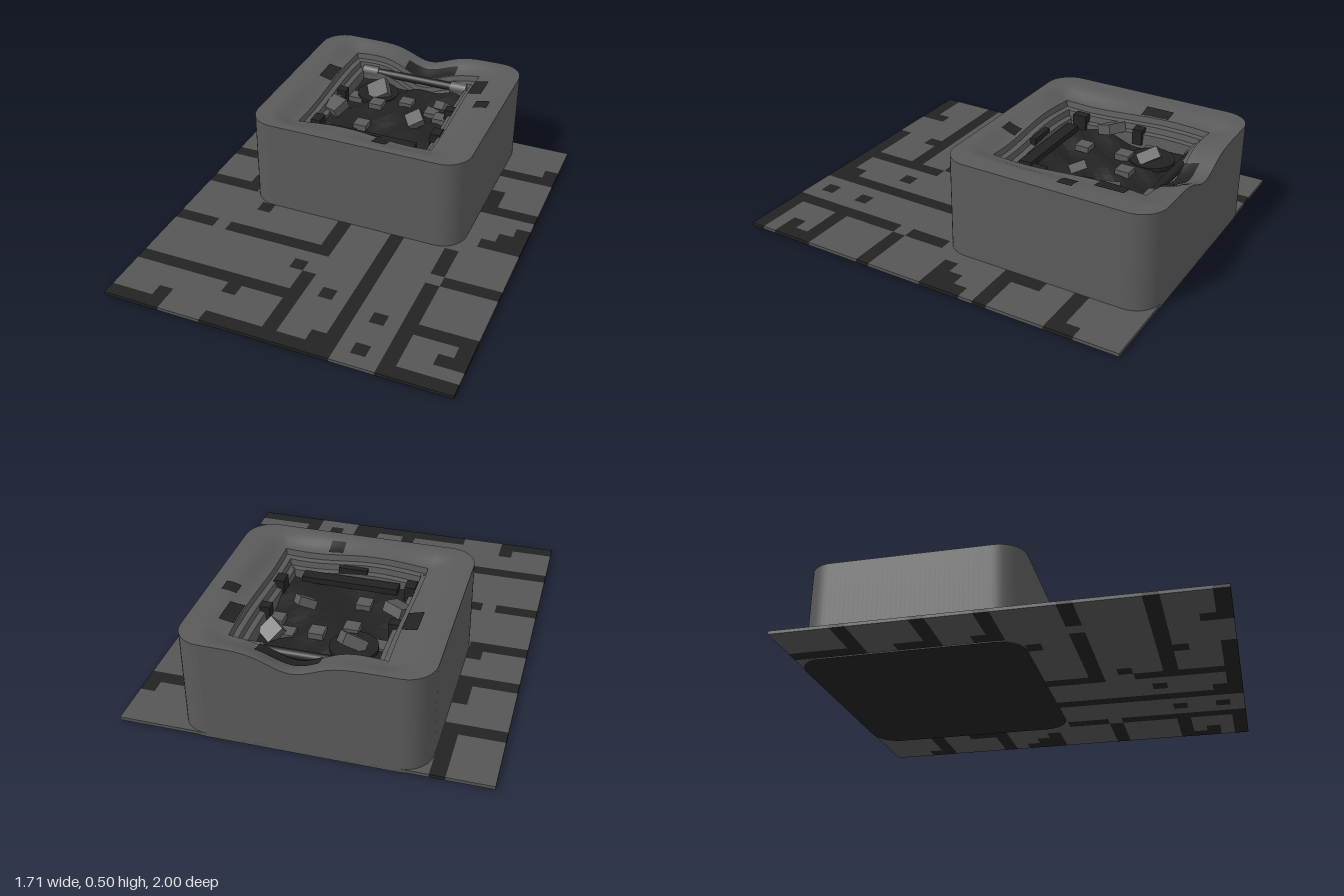
import * as THREE from 'three';
import { mergeGeometries } from 'three/addons/utils/BufferGeometryUtils.js';

const CELL = 1 / 14, COLS = 24, ROWS = 28;
const PIT = { x: 0.355, z0: -0.86, z1: -0.085 };
const cx = c => -COLS * CELL / 2 + c * CELL;
const rz = r => -1 + r * CELL;
const clamp = THREE.MathUtils.clamp, smooth = THREE.MathUtils.smoothstep;

// dark paving cells: first column, last column, first row, last row
const darkCells = [
  [3, 3, 0, 3], [0, 3, 4, 4], [3, 3, 7, 8], [0, 3, 9, 9], [3, 3, 12, 12], [0, 3, 13, 13],
  [5, 5, 15, 15], [0, 2, 18, 18], [4, 11, 18, 18], [11, 11, 15, 17], [10, 10, 20, 20],
  [11, 11, 21, 27], [0, 10, 23, 23], [7, 7, 24, 24], [3, 3, 26, 26], [0, 3, 27, 27],
  [7, 14, 27, 27], [13, 13, 22, 22], [15, 15, 15, 27], [14, 14, 26, 26], [19, 19, 15, 17],
  [19, 19, 19, 27], [20, 23, 18, 18], [20, 23, 23, 23], [17, 17, 23, 23], [17, 17, 26, 26],
  [22, 22, 25, 25], [23, 23, 24, 25], [20, 23, 27, 27], [23, 23, 3, 3], [20, 23, 4, 4],
  [20, 20, 7, 8], [20, 23, 9, 9], [23, 23, 11, 11], [22, 23, 12, 12], [21, 23, 13, 13],
];
const isDark = (c, r) => darkCells.some(([a, b, d, e]) => c >= a && c <= b && r >= d && r <= e);

// height of the worn rim: a slope towards the pit and a dip in the back
function rimHeight(x, z) {
  const dx = Math.max(0, Math.abs(x) - PIT.x), dz = Math.max(0, PIT.z0 - z, z - PIT.z1);
  const near = 1 - smooth(Math.hypot(dx, dz), 0, 0.13);
  const dip = 0.07 * Math.exp(-(((x - 0.03) / 0.14) ** 2)) * (1 - smooth(z, -0.85, -0.6));
  return 0.5 - dip - near * (0.03 + 0.012 * Math.sin(9 * x + 7 * z));
}
const floorHeight = (x, z) =>
  0.355 + 0.018 * Math.sin(13 * x + 2) * Math.cos(11 * z) + 0.01 * Math.sin(31 * x + 23 * z);

// surface through rows of points, bottom to top
function loft(rows, flat) {
  const n = rows[0].length, pos = rows.flat().flat(), idx = [];
  for (let r = 0; r < rows.length - 1; r++)
    for (let i = 0; i < n - 1; i++) {
      const a = r * n + i, b = a + n;
      idx.push(a, b, b + 1, a, b + 1, a + 1);
    }
  let g = new THREE.BufferGeometry();
  g.setAttribute('position', new THREE.Float32BufferAttribute(pos, 3));
  g.setIndex(idx);
  if (flat) g = g.toNonIndexed();
  g.computeVertexNormals();
  return g;
}

// horizontal sheet whose height follows a rule
function sheet(x0, x1, z0, z1, sx, sz, height, flat) {
  let g = new THREE.PlaneGeometry(x1 - x0, z1 - z0, sx, sz).rotateX(-Math.PI / 2)
    .translate((x0 + x1) / 2, 0, (z0 + z1) / 2);
  const p = g.attributes.position;
  for (let i = 0; i < p.count; i++) p.setY(i, height(p.getX(i), p.getZ(i)));
  if (flat) g = g.toNonIndexed();
  g.computeVertexNormals();
  return g;
}

export function createModel() {
  const model = new THREE.Group();
  const mat = (name, color) => Object.assign(new THREE.MeshStandardMaterial({ color }), { name });
  const paving = mat('paving grey', 0x555555);
  const stone = mat('stone grey', 0x5a5a5a);
  const dark = mat('dark grey', 0x222222);
  const add = (name, geo, m) => {
    const mesh = new THREE.Mesh(geo, m);
    mesh.name = name;
    model.add(mesh);
    return mesh;
  };
  const box = (w, h, d, x, y, z) => new THREE.BoxGeometry(w, h, d).translate(x, y, z);

  // paving, one slab for each run of equal cells in a row
  const slabs = { light: [], dark: [] };
  for (let r = 0; r < ROWS; r++)
    for (let c = 0; c < COLS;) {
      const start = c, d = isDark(c, r);
      while (c < COLS && isDark(c, r) === d) c++;
      slabs[d ? 'dark' : 'light'].push(box((c - start) * CELL, 0.016, CELL,
        (cx(start) + cx(c)) / 2, 0.012, rz(r) + CELL / 2));
    }
  add('lightPaving', mergeGeometries(slabs.light), paving);
  add('darkPaving', mergeGeometries(slabs.dark), dark);

  // rounded outline of the block
  const X = 0.57, B = -1, F = 0.07, R = 0.13, H = Math.PI / 2;
  const shape = new THREE.Shape();
  shape.moveTo(0, B);
  shape.absarc(X - R, B + R, R, -H, 0);
  shape.absarc(X - R, F - R, R, 0, H);
  shape.absarc(-X + R, F - R, R, H, 2 * H);
  shape.absarc(-X + R, B + R, R, 2 * H, 3 * H);
  shape.closePath();
  const outline = shape.getSpacedPoints(180);

  // outer wall and worn top
  add('blockWall', loft([
    outline.map(p => [p.x, 0, p.y]),
    outline.map(p => [p.x, rimHeight(p.x, p.y), p.y]),
  ]), stone);
  const inner = (p, inset) => [
    clamp(p.x, -PIT.x + inset, PIT.x - inset),
    clamp(p.y, PIT.z0 + inset, PIT.z1 - inset),
  ];
  const topRows = [];
  for (let k = 0; k <= 10; k++)
    topRows.push(outline.map(p => {
      const [ix, iz] = inner(p, 0), t = k / 10;
      const x = p.x + (ix - p.x) * t, z = p.y + (iz - p.y) * t;
      return [x, rimHeight(x, z), z];
    }));
  add('wornTop', loft(topRows), stone);
  add('blockBase', new THREE.ShapeGeometry(shape).rotateX(H), dark);

  // stepped wall of the pit: inset and drop below the rim
  const steps = [[0, 0], [0.005, 0.03], [0.03, 0.035], [0.035, 0.065], [0.06, 0.07], [0.07, 0.2]];
  add('pitSteps', loft(steps.map(([inset, drop]) => outline.map(p => {
    const [x, z] = inner(p, inset), [ex, ez] = inner(p, 0);
    return [x, rimHeight(ex, ez) - drop, z];
  })), true), stone);
  add('pitFloor', sheet(-0.3, 0.3, -0.8, -0.14, 14, 14, floorHeight, true), dark);

  // dark patches on the rim: first column, last column, first row, last row
  const patches = [[6, 6, 5, 6], [11, 14, 1, 1], [17, 17, 3, 4], [18, 18, 6, 6], [13, 13, 13, 13]];
  for (const [a, b, c, d] of patches)
    add('darkRimPatch', sheet(cx(a), cx(b + 1), rz(c), rz(d + 1), 4 * (b - a + 1), 4 * (d - c + 1),
      (x, z) => rimHeight(x, z) + 0.005), dark);

  // dark blocks set into the pit wall
  for (const [w, d, x, z] of [[0.07, 0.05, -0.31, -0.52], [0.07, 0.05, 0.31, -0.54],
    [0.14, 0.05, 0, -0.12], [0.05, 0.07, -0.3, -0.2], [0.05, 0.07, 0.31, -0.3]])
    add('darkWallBlock', box(w, 0.08, d, x, 0.395, z), dark);

  // light floor tiles, by column and row
  for (const [c, r] of [[8, 5], [10, 6], [12, 5], [14, 5], [15, 6], [10, 9]]) {
    const x = cx(c + 0.5), z = rz(r + 0.5);
    add('floorTile', box(CELL, 0.03, CELL, x, floorHeight(x, z) + 0.012, z), stone);
  }

  // fallen rubble
  for (const [x, z, s, turn, tilt] of [[-0.14, -0.65, 0.11, 0.5, 0.5], [-0.28, -0.38, 0.1, -0.4, 0.4],
    [0.24, -0.64, 0.09, 0.9, -0.5], [0.15, -0.42, 0.085, 0.6, 0.4]]) {
    const m = add('rubble', new THREE.BoxGeometry(s, s * 0.5, s * 0.95), stone);
    m.position.set(x, floorHeight(x, z) + 0.035, z);
    m.rotation.set(tilt, turn, tilt * 0.6);
  }

  // sunken disc, bench and the roller along the back
  add('disc', new THREE.CylinderGeometry(0.11, 0.11, 0.02, 24).translate(-0.15, 0.365, -0.66), dark);
  add('bench', box(0.47, 0.03, 0.06, 0, 0.385, -0.185), dark);
  const bar = (w, r, x) =>
    new THREE.CylinderGeometry(r, r, w, 16).rotateZ(H).translate(x, 0.4, -0.825);
  add('roller', bar(0.42, 0.022, 0), dark);
  for (const s of [-1, 1]) add('rollerEnd', bar(0.09, 0.03, s * 0.255), stone);

  return model;
}
